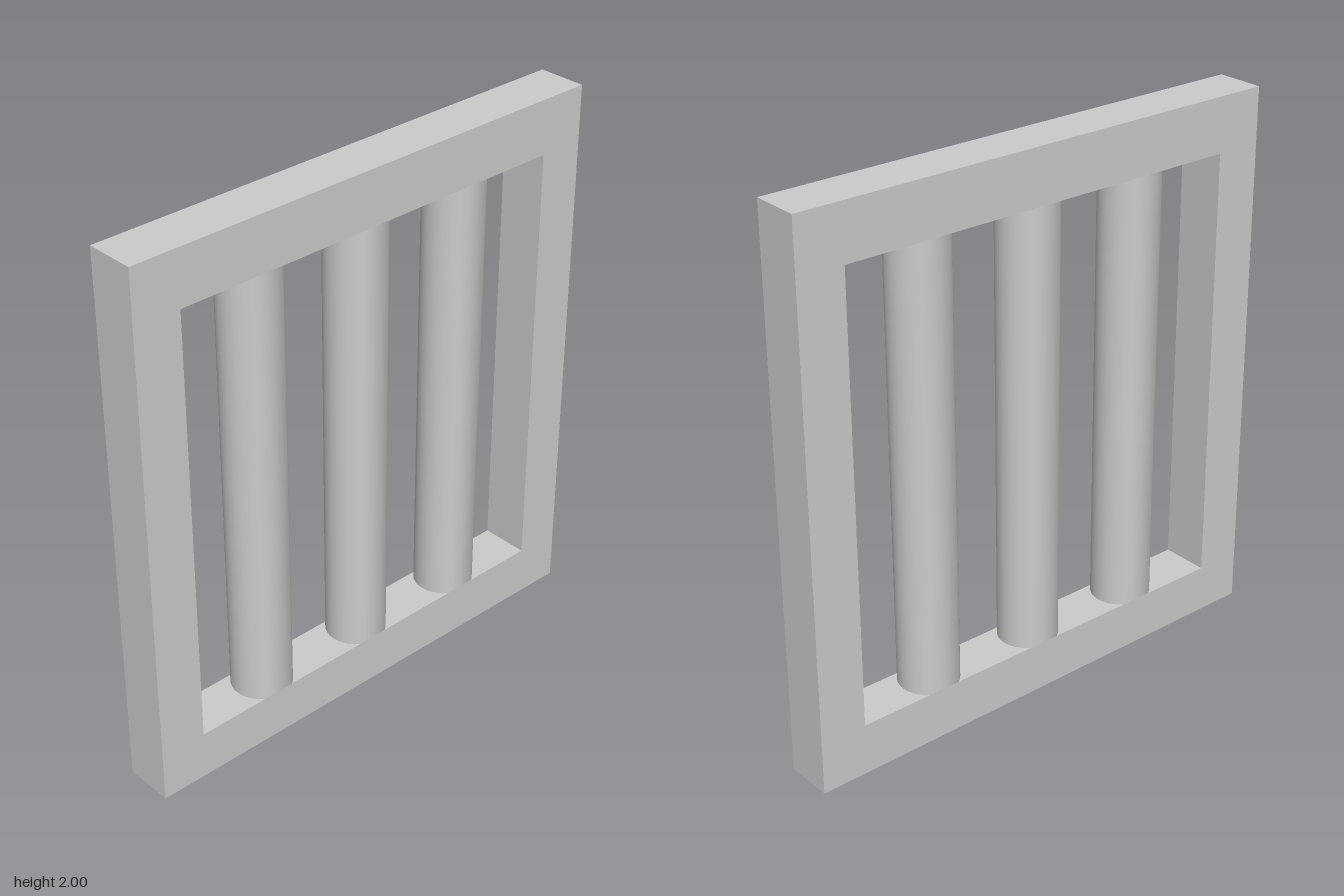
import * as THREE from 'three';

const HALF_W = 0.934, HALF_D = 0.0885, TOP = 2;
const IN_W = 0.763, IN_TOP = 1.802;

// The bottom rail leans slightly: its upper edge drops towards +x.
const sillY = (x) => 0.195 - 0.0065 * x;

const polygon = (Type, pts) => new Type(pts.map(([x, y]) => new THREE.Vector2(x, y)));

function createFrame(material) {
  const shape = polygon(THREE.Shape, [[-HALF_W, 0.025], [HALF_W, 0], [HALF_W, TOP], [-HALF_W, TOP]]);
  shape.holes.push(polygon(THREE.Path, [
    [-IN_W, sillY(-IN_W)], [-IN_W, IN_TOP], [IN_W, IN_TOP], [IN_W, sillY(IN_W)],
  ]));
  const geometry = new THREE.ExtrudeGeometry(shape, { depth: 2 * HALF_D, bevelEnabled: false });
  geometry.translate(0, 0, -HALF_D);
  const frame = new THREE.Mesh(geometry, material);
  frame.name = 'frame';
  return frame;
}

// Round bar shaved flush with the frame's front and back, ends fitted to the rails.
function createBar(x, material) {
  const geometry = new THREE.CylinderGeometry(0.107, 0.107, 1, 32, 1, true);
  const p = geometry.attributes.position;
  for (let i = 0; i < p.count; i++) {
    p.setZ(i, THREE.MathUtils.clamp(p.getZ(i), -HALF_D, HALF_D));
    p.setY(i, p.getY(i) > 0 ? IN_TOP : sillY(x + p.getX(i)));
  }
  const bar = new THREE.Mesh(geometry, material);
  bar.position.x = x;
  return bar;
}

export function createModel() {
  const material = new THREE.MeshStandardMaterial({ color: 0xcccccc });
  const model = new THREE.Group();
  model.name = 'barredWindow';
  model.add(createFrame(material));
  [['rightBar', -0.436], ['middleBar', 0], ['leftBar', 0.435]].forEach(([name, x]) => {
    const bar = createBar(x, material);
    bar.name = name;
    model.add(bar);
  });
  return model;
}
